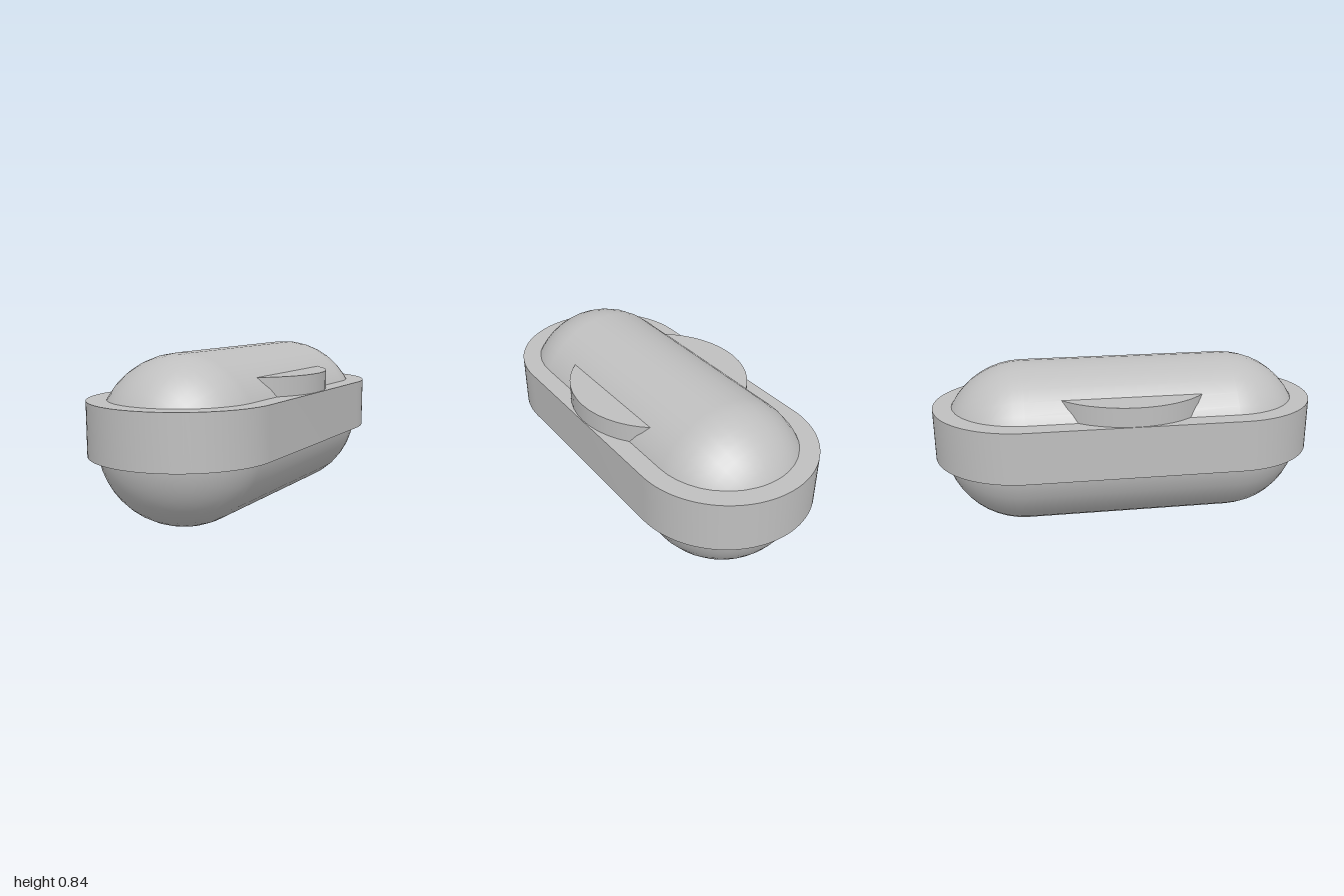
import * as THREE from 'three';
import { toCreasedNormals } from 'three/addons/utils/BufferGeometryUtils.js';

export function createModel() {
  const group = new THREE.Group();
  const grey = new THREE.MeshStandardMaterial({ color: 0xbfbfbf });
  grey.name = 'plain grey';

  const add = (name, geometry) => {
    const mesh = new THREE.Mesh(geometry, grey);
    mesh.name = name;
    group.add(mesh);
  };

  const capZ = 0.535; // centres of the rounded ends

  // Capsule body lying along z, with a facet uppermost
  const body = new THREE.CapsuleGeometry(0.42, capZ * 2, 12, 36);
  body.rotateY(THREE.MathUtils.degToRad(5));
  body.rotateX(Math.PI / 2);
  body.translate(0, 0.419, 0);
  add('body', body);

  // Straight-walled belt with rounded ends around the middle
  const outline = new THREE.Shape();
  outline.absarc(0, capZ, 0.465, 0, Math.PI);
  outline.absarc(0, -capZ, 0.465, Math.PI, Math.PI * 2);
  outline.closePath();
  const belt = new THREE.ExtrudeGeometry(outline, { depth: 0.265, bevelEnabled: false, curveSegments: 24 });
  belt.rotateX(-Math.PI / 2);
  belt.translate(0, 0.355, 0);
  add('belt', toCreasedNormals(belt, 0.5));

  // Round disc whose edges stand out as a fin on each side
  const disc = new THREE.CylinderGeometry(0.461, 0.461, 0.317, 48);
  disc.translate(0, 0.5585, 0);
  add('sideFins', disc);

  return group;
}
